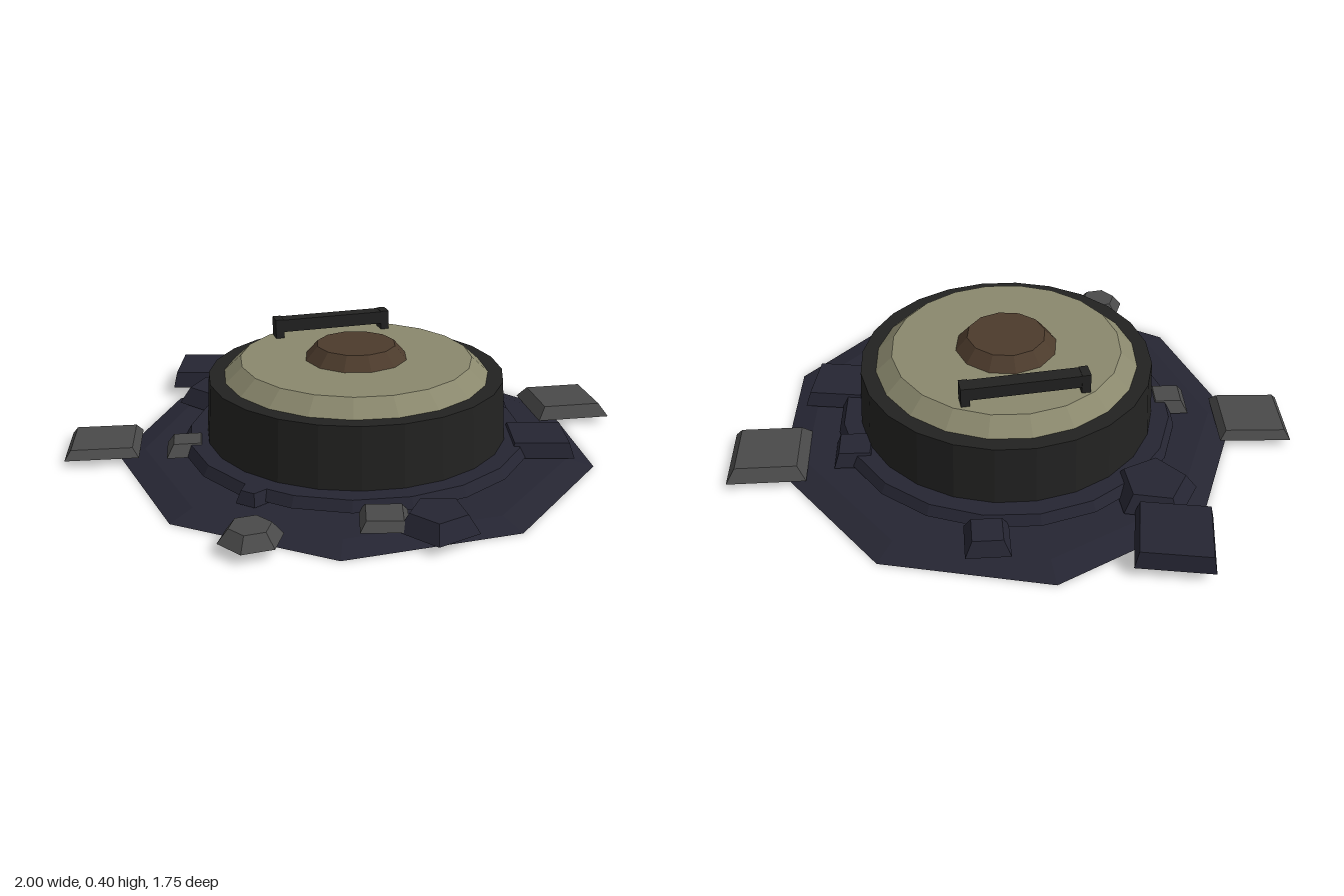
import * as THREE from 'three';

const mat = (name, color) => {
  const m = new THREE.MeshStandardMaterial({ color });
  m.name = name;
  return m;
};

export function createModel() {
  const navy = mat('dark navy earth', 0x252532);
  const black = mat('charcoal casing', 0x222221);
  const cream = mat('drab cream', 0x8a886d);
  const brown = mat('brown button', 0x4c3b2c);
  const grey = mat('grey stone', 0x4a4a4a);
  const group = new THREE.Group();
  const cz = 0.025; // centre of the body along z

  const add = (name, geo, material, x, y, z, turn = 0) => {
    const flat = geo.toNonIndexed();
    flat.computeVertexNormals();
    const mesh = new THREE.Mesh(flat, material);
    mesh.name = name;
    mesh.position.set(x, y, z);
    mesh.rotation.y = turn;
    group.add(mesh);
  };
  // Tapered disc between two heights
  const disc = (name, material, rBottom, rTop, y0, y1, sides, turn = 0) =>
    add(name, new THREE.CylinderGeometry(rTop, rBottom, y1 - y0, sides), material, 0, (y0 + y1) / 2, cz, turn);

  // Nine-sided ground plate and the stacked body
  disc('groundPlate', navy, 0.83, 0.74, 0, 0.022, 9, Math.PI);
  disc('earthRing', navy, 0.605, 0.585, 0.036, 0.07, 20);
  disc('casing', black, 0.525, 0.51, 0.04, 0.28, 24);
  disc('pressureLid', cream, 0.458, 0.4, 0.28, 0.333, 20);
  disc('button', brown, 0.178, 0.137, 0.333, 0.38, 12);

  // Carrying handle on two end posts
  add('handleBar', new THREE.BoxGeometry(0.43, 0.045, 0.052), black, -0.005, 0.3775, -0.272);
  for (const s of [-1, 1]) {
    add('handlePost', new THREE.BoxGeometry(0.03, 0.07, 0.055), black, -0.005 + s * 0.2, 0.367, -0.272);
  }

  // Scattered tapered chunks: x, z, sides, radius, top ratio, y0, y1, clockwise turn in degrees
  const chunks = (name, material, list) => {
    for (const [x, z, sides, r, ratio, y0, y1, deg] of list) {
      const geo = new THREE.CylinderGeometry(r * ratio, r, y1 - y0, sides, 1, false, sides === 4 ? Math.PI / 4 : 0);
      add(name, geo, material, x, (y0 + y1) / 2, z, -deg * Math.PI / 180);
    }
  };
  chunks('stoneChunk', grey, [
    [-0.86, -0.167, 4, 0.176, 0.83, 0.025, 0.055, 10],
    [0.85, -0.053, 4, 0.19, 0.78, 0.022, 0.065, 7],
    [-0.513, 0.663, 6, 0.1, 0.65, 0.035, 0.078, 28],
    [-0.11, 0.675, 4, 0.105, 0.75, 0.035, 0.065, 16],
    [-0.59, -0.025, 4, 0.1, 0.65, 0.035, 0.075, 9],
    [0.665, 0.285, 4, 0.04, 0.7, 0.03, 0.06, 20],
  ]);
  chunks('earthChunk', navy, [
    [-0.395, -0.73, 4, 0.178, 0.9, 0.036, 0.094, 17],
    [-0.4, -0.485, 5, 0.15, 0.72, 0.03, 0.088, 20],
    [0.183, -0.613, 4, 0.103, 0.68, 0.035, 0.085, 7],
    [0.555, -0.105, 4, 0.1, 0.75, 0.03, 0.08, 8],
    [0.58, 0.285, 4, 0.155, 0.85, 0.03, 0.08, 16],
    [0.035, 0.745, 5, 0.13, 0.7, 0.032, 0.087, 20],
    [-0.45, 0.41, 5, 0.06, 0.7, 0.03, 0.07, 10],
  ]);
  return group;
}
